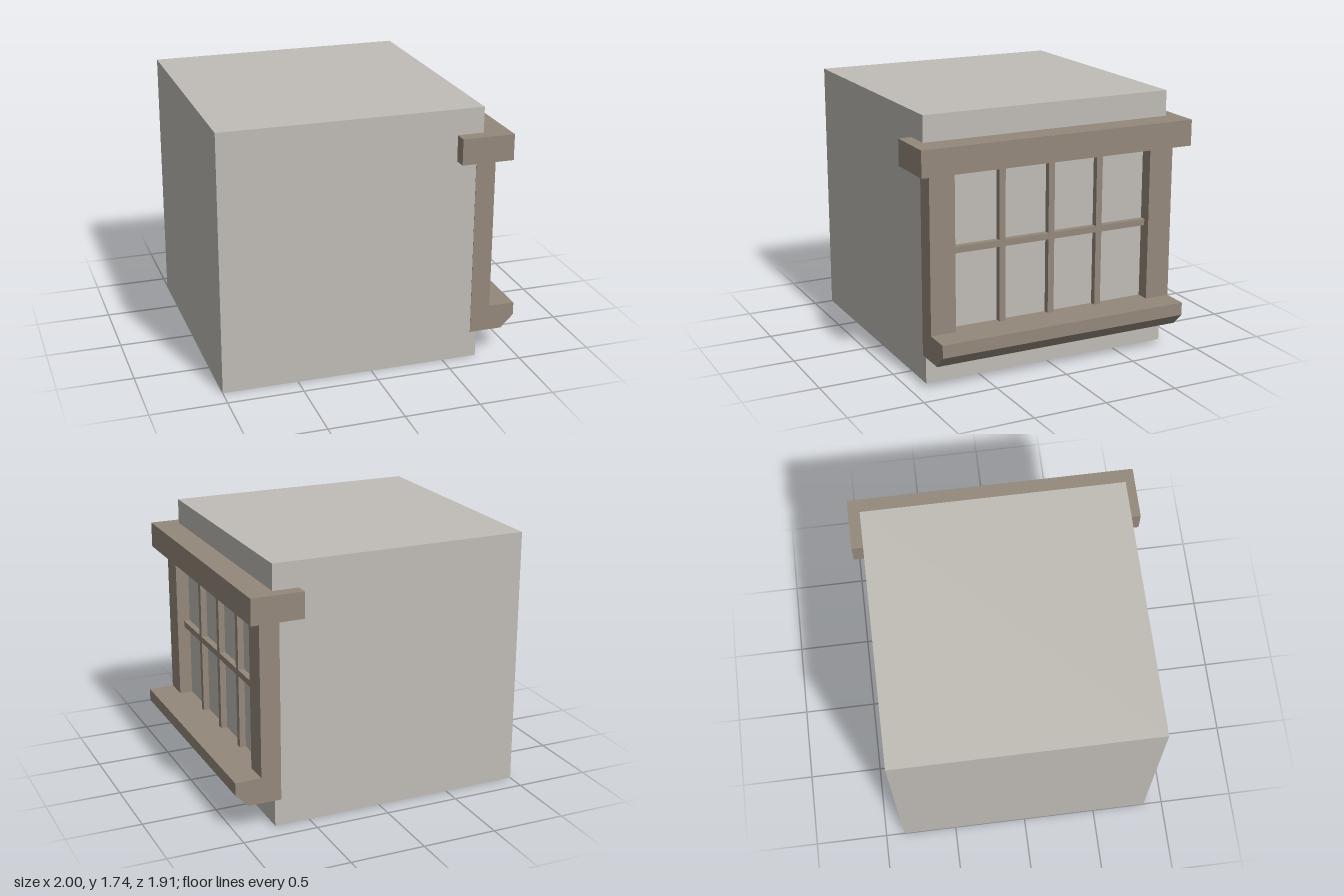
import * as THREE from 'three';

export function createModel() {
  const model = new THREE.Group();
  model.name = 'windowBlock';

  const plaster = new THREE.MeshStandardMaterial({ color: 0xc0bcb6 });
  plaster.name = 'plaster';
  const wood = new THREE.MeshStandardMaterial({ color: 0x94887b });
  wood.name = 'wood';

  // Box given by its extents on each axis
  const box = (name, material, [x0, x1], [y0, y1], [z0, z1], parent = model) => {
    const mesh = new THREE.Mesh(new THREE.BoxGeometry(x1 - x0, y1 - y0, z1 - z0), material);
    mesh.position.set((x0 + x1) / 2, (y0 + y1) / 2, (z0 + z1) / 2);
    mesh.name = name;
    parent.add(mesh);
    return mesh;
  };

  const half = 0.869, trim = 0.871, wallX = 0.735;
  const sillTop = 0.35, lintelBottom = 1.393;

  // Wall block
  box('wall', plaster, [-1, wallX], [0, 1.737], [-half, half]);

  // Lintel wrapping past both corners
  box('lintel', wood, [0.56, 0.91], [lintelBottom, 1.566], [-0.956, 0.956]);

  // Side posts
  for (const side of [-1, 1]) {
    const z = [0.7 * side, trim * side].sort((a, b) => a - b);
    box(side > 0 ? 'frontPost' : 'backPost', wood, [0.692, 0.825], [sillTop, lintelBottom], z);
  }

  // Sill with a chamfered lower edge
  const profile = new THREE.Shape([
    [0.692, 0.178], [0.912, 0.178], [1, 0.264], [1, sillTop], [0.692, sillTop],
  ].map(([x, y]) => new THREE.Vector2(x, y)));
  const sill = new THREE.Mesh(
    new THREE.ExtrudeGeometry(profile, { depth: 2 * trim, bevelEnabled: false }), wood);
  sill.position.z = -trim;
  sill.name = 'sill';
  model.add(sill);

  // Glazing bars
  const bars = new THREE.Group();
  bars.name = 'glazingBars';
  model.add(bars);
  const depth = [wallX - 0.01, 0.777], w = 0.0215;
  for (const z of [-0.35, 0, 0.35]) {
    box('verticalBar', wood, depth, [sillTop, lintelBottom], [z - w, z + w], bars);
  }
  box('horizontalBar', wood, depth, [0.872 - w, 0.872 + w], [-0.7, 0.7], bars);

  return model;
}
